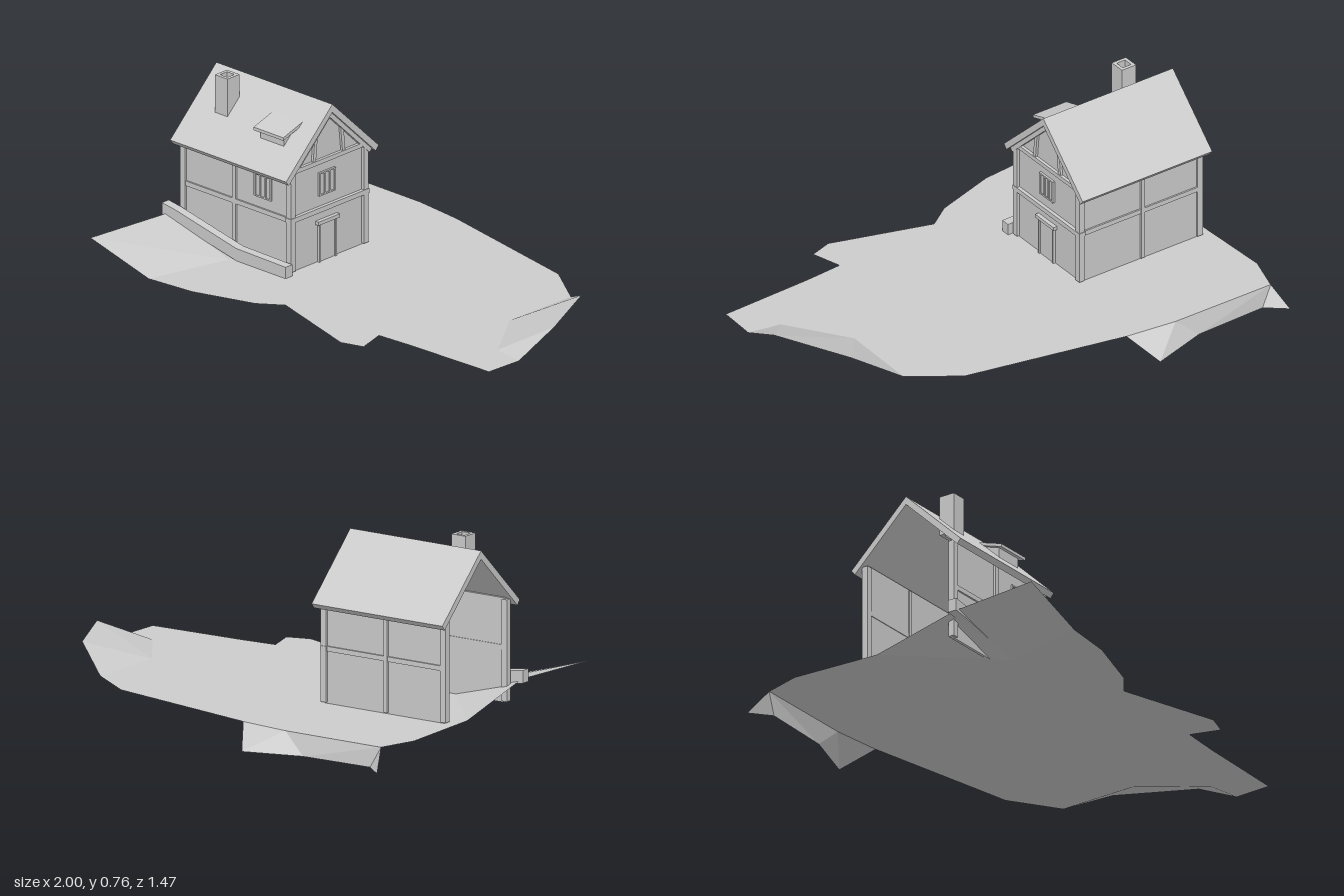
import * as THREE from 'three';

const mat = new THREE.MeshStandardMaterial({ color: 0xcccccc, flatShading: true, side: THREE.DoubleSide });

function add(parent, name, geometry, x = 0, y = 0, z = 0) {
  const m = new THREE.Mesh(geometry, mat);
  m.name = name;
  m.position.set(x, y, z);
  parent.add(m);
  return m;
}
const box = (parent, name, w, h, d, x, y, z) => add(parent, name, new THREE.BoxGeometry(w, h, d), x, y, z);
const shapeOf = (pts) => new THREE.Shape(pts.map(([x, y]) => new THREE.Vector2(x, y)));

// Extrusion of a (z, y) profile along x, between x0 and x1
function extrudeX(parent, name, pts, x0, x1) {
  const g = new THREE.ExtrudeGeometry(shapeOf(pts.map(([z, y]) => [-z, y])), { depth: x1 - x0, bevelEnabled: false });
  g.rotateY(Math.PI / 2);
  return add(parent, name, g, x0, 0, 0);
}

// Facets given as triangles of [x, y, z]
function facets(parent, name, tris) {
  const g = new THREE.BufferGeometry();
  g.setAttribute('position', new THREE.Float32BufferAttribute(tris.flat(2), 3));
  g.computeVertexNormals();
  // turn every facet upward
  const p = g.attributes.position, n = g.attributes.normal;
  for (let i = 0; i < p.count; i += 3) {
    if (n.getY(i) >= 0) continue;
    const b = [p.getX(i + 1), p.getY(i + 1), p.getZ(i + 1)];
    p.setXYZ(i + 1, p.getX(i + 2), p.getY(i + 2), p.getZ(i + 2));
    p.setXYZ(i + 2, ...b);
  }
  g.computeVertexNormals();
  return add(parent, name, g);
}

function buildGround() {
  const ground = new THREE.Group();
  ground.name = 'ground';
  const G = 0.085, H = 0.175;
  // level plateau, outlined in (x, z)
  const outline = [[-0.955, -0.58], [-0.5, -0.63], [-0.28, -0.63], [0.41, -0.57], [0.62, -0.457],
    [0.65, -0.12], [0.85, 0.11], [0.99, 0.12], [1, 0.28], [0.6, 0.34], [0.44, 0.37], [0.49, 0.49],
    [0.4, 0.53], [-0.03, 0.45], [-0.12, 0.53], [-0.37, 0.64], [-0.58, 0.685], [-0.53, 0.32],
    [-0.925, -0.04], [-0.985, -0.42]];
  const flat = new THREE.ShapeGeometry(shapeOf(outline.map(([x, z]) => [x, -z])));
  flat.rotateX(-Math.PI / 2);
  add(ground, 'plateau', flat, 0, G, 0);

  // rise at the far end
  const a = [0.62, G, -0.457], b = [0.65, G, -0.12], c = [0.85, G, 0.11], d = [0.99, G, 0.12];
  const t1 = [0.8, H, -0.36], t2 = [0.98, H, -0.07];
  facets(ground, 'endRise', [[a, b, t1], [b, t2, t1], [b, c, t2], [c, d, t2]]);

  // rise beside the house
  const p = [-0.53, G, 0.32], e = [-0.925, G, -0.04], f = [-0.58, G, 0.685];
  const s1 = [-0.88, H, 0.33], s2 = [-0.88, H, 0.73];
  facets(ground, 'sideRise', [[e, p, s1], [s1, p, s2], [s2, p, f]]);

  // bank falling away behind
  const k = [[-0.955, G, -0.58], [-0.5, G, -0.63], [-0.28, G, -0.63]];
  const l = [[-1, 0, -0.655], [-0.91, 0, -0.595], [-0.6, 0, -0.64], [-0.37, 0, -0.74]];
  facets(ground, 'rearBank', [[k[0], l[0], l[1]], [k[0], l[1], l[2]], [k[0], l[2], k[1]],
    [k[1], l[2], l[3]], [k[1], l[3], k[2]]]);
  return ground;
}

// Window with frame and bars, facing +z
function buildWindow() {
  const w = new THREE.Group();
  w.name = 'window';
  box(w, 'pane', 0.08, 0.09, 0.006, 0, 0, 0);
  for (const x of [-0.042, -0.014, 0.014, 0.042]) box(w, 'windowBar', 0.008, 0.095, 0.014, x, 0, 0);
  for (const y of [-0.046, 0.046]) box(w, 'windowRail', 0.09, 0.006, 0.014, 0, y, 0);
  return w;
}

function buildHouse() {
  const house = new THREE.Group();
  house.name = 'house';
  const base = 0.085, W = 0.285, D = 0.205, top = 0.505, h = top - base, midY = base + h / 2;

  // walls; the -x end stays open
  for (const s of [-1, 1]) box(house, s > 0 ? 'frontWall' : 'rearWall', 2 * W, h, 0.012, 0, midY, s * D);
  extrudeX(house, 'gableWall', [[-D, base], [D, base], [D, 0.505], [0, 0.708], [-D, 0.505]], W - 0.012, W);

  // timber frame
  for (const s of [-1, 1]) {
    for (const x of [-W, -0.01, W]) box(house, 'post', x === -0.01 ? 0.018 : 0.026, h - 0.01, 0.026, x, midY, s * (D + 0.002));
    box(house, 'middleBeam', 2 * W, 0.02, 0.022, 0, 0.306, s * (D + 0.002));
  }
  box(house, 'gableMiddleBeam', 0.03, 0.02, 2 * D + 0.035, W, 0.306, 0);
  box(house, 'gableTieBeam', 0.026, 0.018, 2 * D + 0.02, W, 0.508, 0);
  for (const s of [-1, 1]) {
    const stud = box(house, 'gableStud', 0.02, 0.115, 0.016, W, 0.568, s * 0.078);
    stud.rotation.x = -s * 0.1;
    const rafter = box(house, 'rafter', 0.022, 0.02, 0.32, W + 0.004, 0.585, s * 0.115);
    rafter.rotation.x = s * 0.765;
  }

  // roof
  extrudeX(house, 'roof', [[0, 0.74], [0.262, 0.49], [0.246, 0.47], [0, 0.706], [-0.246, 0.47], [-0.262, 0.49]], -0.312, 0.312);

  // door
  box(house, 'door', 0.012, 0.155, 0.085, W, base + 0.078, 0.007);
  for (const z of [-0.039, 0.053]) box(house, 'doorPost', 0.022, 0.16, 0.008, W, base + 0.08, z);
  box(house, 'doorLintel', 0.034, 0.015, 0.122, W, 0.252, 0.007);

  // windows
  const front = buildWindow();
  front.position.set(0.142, 0.408, D + 0.006);
  const side = buildWindow();
  side.position.set(W + 0.002, 0.41, 0.007);
  side.rotation.y = Math.PI / 2;
  house.add(front, side);

  // hollow chimney
  const rim = shapeOf([[-0.034, -0.034], [0.034, -0.034], [0.034, 0.034], [-0.034, 0.034]]);
  rim.holes.push(shapeOf([[-0.02, -0.02], [-0.02, 0.02], [0.02, 0.02], [0.02, -0.02]]));
  const stack = new THREE.ExtrudeGeometry(rim, { depth: 0.165, bevelEnabled: false });
  stack.rotateX(-Math.PI / 2);
  add(house, 'chimney', stack, -0.153, 0.6, 0.106);

  // dormer
  extrudeX(house, 'dormerBody', [[0.08, 0.65], [0.165, 0.625], [0.165, 0.572]], 0.082, 0.208);
  extrudeX(house, 'dormerRoof', [[0.07, 0.667], [0.187, 0.63], [0.187, 0.617], [0.07, 0.654]], 0.066, 0.226);

  // low wall stepping down along the front
  const low = shapeOf([[-0.35, 0.165], [-0.28, 0.155], [0.05, 0.085], [0.315, 0.085],
    [0.315, 0.133], [0.05, 0.137], [-0.28, 0.207], [-0.35, 0.217]]);
  add(house, 'lowWall', new THREE.ExtrudeGeometry(low, { depth: 0.038, bevelEnabled: false }), 0, 0, 0.23);

  house.position.set(-0.58, 0, 0.045);
  house.rotation.y = 0.112;
  return house;
}

export function createModel() {
  const model = new THREE.Group();
  model.name = 'cottageOnHill';
  model.add(buildGround(), buildHouse());
  return model;
}
